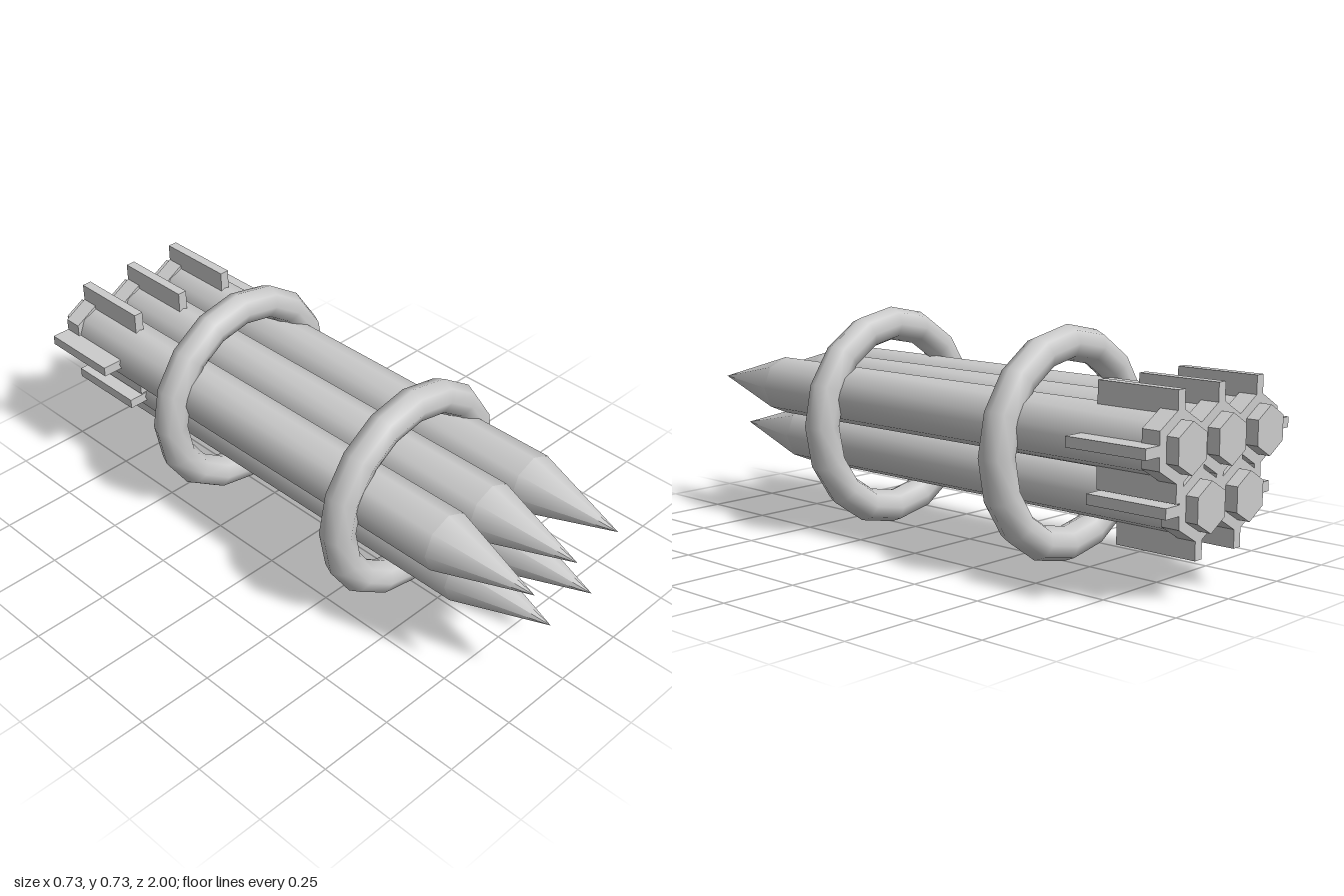
import * as THREE from 'three';
import { toCreasedNormals } from 'three/addons/utils/BufferGeometryUtils.js';

const grey = new THREE.MeshStandardMaterial({ color: 0xcccccc });

function addPart(parent, name, geometry, x = 0, y = 0, z = 0) {
  const mesh = new THREE.Mesh(geometry, grey);
  mesh.name = name;
  mesh.position.set(x, y, z);
  parent.add(mesh);
  return mesh;
}

// Prism or cone lying along z, from zBack to zFront, with a corner pointing up
function prism(rFront, rBack, zBack, zFront, sides, crease) {
  const g = new THREE.CylinderGeometry(rFront, rBack, zFront - zBack, sides);
  g.rotateX(Math.PI / 2);
  g.translate(0, 0, (zFront + zBack) / 2);
  return toCreasedNormals(g, crease);
}

const bodyGeometry = prism(0.095, 0.095, -0.93, 0.68, 8, 0.9);
const noseGeometry = prism(0, 0.095, 0.68, 1, 8, 0.9);
const collarGeometry = prism(0.11, 0.11, -0.96, -0.9, 6, 0.5);
const nozzleGeometry = prism(0.075, 0.075, -1, -0.95, 6, 0.5);
const finGeometry = new THREE.BoxGeometry(0.032, 0.107, 0.275);
finGeometry.translate(0, 0.1035, -0.8225);

function createRocket() {
  const rocket = new THREE.Group();
  rocket.name = 'rocket';
  addPart(rocket, 'body', bodyGeometry);
  addPart(rocket, 'noseCone', noseGeometry);
  addPart(rocket, 'collar', collarGeometry);
  addPart(rocket, 'nozzle', nozzleGeometry);
  for (let i = 0; i < 4; i++) {
    addPart(rocket, 'fin', finGeometry).rotation.z = (i * Math.PI) / 2;
  }
  return rocket;
}

export function createModel() {
  const model = new THREE.Group();
  model.name = 'rocketBundle';

  // Three rockets above, two nested below
  const places = [[-0.19, 0.458], [0, 0.458], [0.19, 0.458], [-0.095, 0.281], [0.095, 0.281]];
  for (const [x, y] of places) {
    const rocket = createRocket();
    rocket.position.set(x, y, 0);
    model.add(rocket);
  }

  // Two hoops around the bundle
  const hoopGeometry = new THREE.TorusGeometry(0.311, 0.055, 8, 16);
  for (const z of [0.36, -0.4]) addPart(model, 'hoop', hoopGeometry, 0, 0.367, z);

  return model;
}
